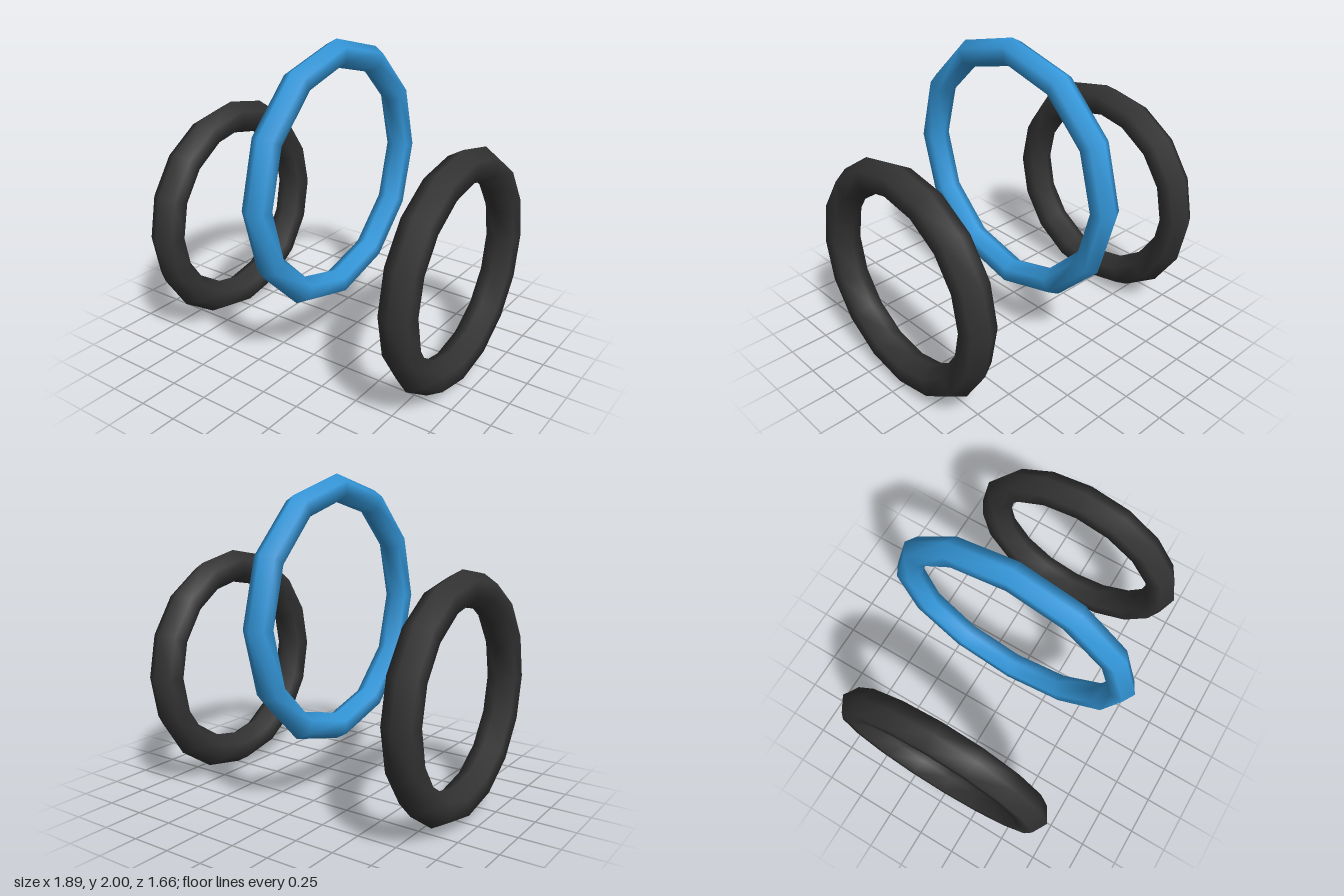
import * as THREE from 'three';

const blue = new THREE.MeshStandardMaterial({ color: 0x3498db });
blue.name = 'blue';
const charcoal = new THREE.MeshStandardMaterial({ color: 0x333333 });
charcoal.name = 'charcoal';

// Upright low-sided ring whose axis runs along x
function ring(name, radius, tube, segments, material, x, y) {
  const geometry = new THREE.TorusGeometry(radius, tube, 6, segments);
  geometry.rotateY(Math.PI / 2);
  const mesh = new THREE.Mesh(geometry, material);
  mesh.name = name;
  mesh.position.set(x, y, 0);
  return mesh;
}

export function createModel() {
  const model = new THREE.Group();
  model.name = 'threeRings';

  // Large raised ring in the middle
  model.add(ring('centreRing', 0.745, 0.085, 12, blue, 0, 1.17));

  // Matching thicker rings on both sides, resting on the ground
  for (const side of [-1, 1]) {
    const name = side > 0 ? 'leftWheel' : 'rightWheel';
    model.add(ring(name, 0.638, 0.1065, 16, charcoal, side * 0.851, 0.745));
  }
  return model;
}
